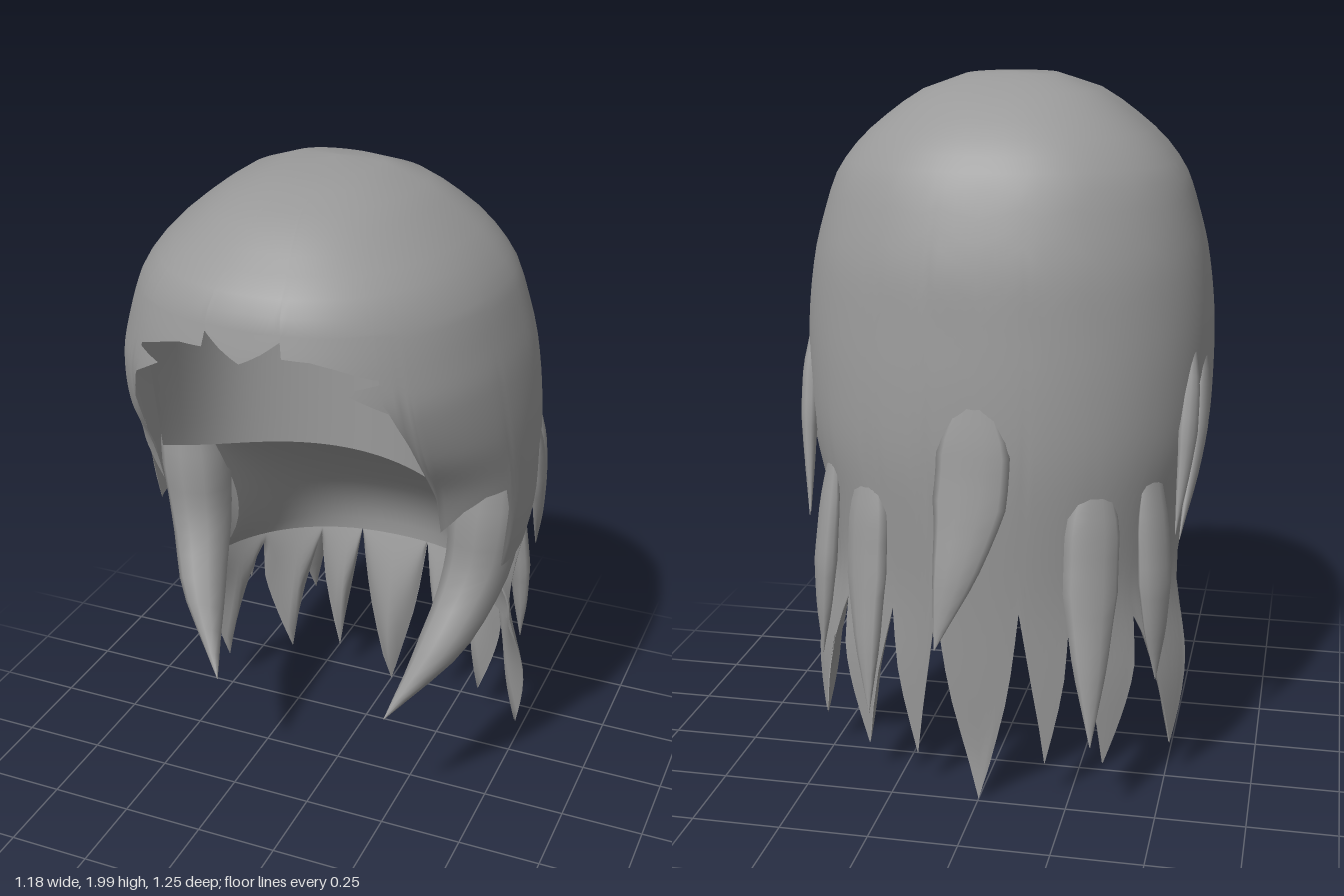
import * as THREE from 'three';

const hair = new THREE.MeshStandardMaterial({ color: 0x999999, side: THREE.DoubleSide });
hair.name = 'hair grey';

// Surface through a grid of points; columns run to the right, rows run down
function grid(cols, rows, point, closed = false) {
  const pos = [], idx = [];
  for (let i = 0; i < cols; i++) for (let j = 0; j < rows; j++) pos.push(...point(i, j));
  for (let i = 0; i < (closed ? cols : cols - 1); i++) {
    for (let j = 0; j < rows - 1; j++) {
      const a = i * rows + j, c = ((i + 1) % cols) * rows + j;
      idx.push(a, a + 1, c, a + 1, c + 1, c);
    }
  }
  const g = new THREE.BufferGeometry();
  g.setAttribute('position', new THREE.Float32BufferAttribute(pos, 3));
  g.setIndex(idx);
  g.computeVertexNormals();
  return g;
}

// Head outline by height: y, half width, reach to the front, reach to the back
const LEVELS = [
  [2.0, 0.002, 0.002, 0.002], [1.993, 0.13, 0.18, 0.08], [1.95, 0.25, 0.37, 0.2],
  [1.84, 0.4, 0.53, 0.345], [1.78, 0.455, 0.595, 0.39], [1.72, 0.495, 0.615, 0.425],
  [1.6, 0.535, 0.64, 0.465], [1.5, 0.56, 0.64, 0.49], [1.35, 0.58, 0.57, 0.505],
  [1.2, 0.585, 0.44, 0.52], [1.0, 0.575, 0.37, 0.53], [0.8, 0.535, 0.36, 0.52],
  [0.6, 0.52, 0.36, 0.505], [0.35, 0.585, 0.36, 0.49], [0.1, 0.59, 0.36, 0.475], [0, 0.57, 0.36, 0.49],
];
function slope(k, c) {
  const a = LEVELS[Math.max(k - 1, 0)], b = LEVELS[Math.min(k + 1, LEVELS.length - 1)];
  return (b[c] - a[c]) / (b[0] - a[0]);
}
function level(y, c) {
  let k = 0;
  while (k < LEVELS.length - 2 && y < LEVELS[k + 1][0]) k++;
  const p = LEVELS[k], q = LEVELS[k + 1], h = q[0] - p[0], t = (y - p[0]) / h;
  if (k < 2) return p[c] + (q[c] - p[c]) * t;
  const t2 = t * t, t3 = t2 * t;
  return (2 * t3 - 3 * t2 + 1) * p[c] + (t3 - 2 * t2 + t) * h * slope(k, c)
    + (3 * t2 - 2 * t3) * q[c] + (t3 - t2) * h * slope(k + 1, c);
}
const soft = (v) => Math.sign(v) * Math.abs(v) ** 0.909;
function onHead(deg, y, scale = 1) {
  const a = THREE.MathUtils.degToRad(deg), c = Math.cos(a);
  return [scale * level(y, 1) * soft(Math.sin(a)), y, scale * level(y, c > 0 ? 2 : 3) * soft(c)];
}

// Lower hair line: degrees from the front, height
const HEM = [
  [0, 1.64], [5, 1.67], [10, 1.705], [10.4, 1.665], [18, 1.66], [24, 1.645], [36, 1.607], [36.4, 1.545],
  [38, 1.51], [41, 1.42], [43, 1.28], [44, 1.2], [44.5, 1.08], [53, 1.14], [62, 1.172], [72, 1.17],
  [74, 1.1], [76, 0.9], [96, 0.9], [100, 0.72], [106, 0.5], [113, 0.32], [121, 0.12], [126, 0.3],
  [129, 0.48], [131, 0.54], [135, 0.4], [147, 0.11], [151, 0.35], [154, 0.56], [158, 0.38],
  [164, 0.12], [167, 0.35], [169, 0.58], [174, 0.3], [180, 0.01],
];
// Hem from the front to the back on one side, finely divided
function halfHem() {
  const half = [];
  HEM.slice(0, -1).forEach(([a, y], k) => {
    const [b, z] = HEM[k + 1], n = Math.ceil((b - a) / 2);
    for (let i = 0; i < n; i++) half.push([a + (b - a) * i / n, y + (z - y) * i / n]);
  });
  return [...half, HEM[HEM.length - 1]];
}

// Crown, fringe and back hair in one skin
function shellGeometry() {
  const half = halfHem();
  const cols = [...half.slice(1, -1).reverse().map(([a, y]) => [-a, y]), ...half];
  const top = [2, 1.993, 1.975, 1.95, 1.915, 1.88, 1.84, 1.8, 1.76, 1.72];
  const rows = 34;
  return grid(cols.length, rows, (i, j) => {
    const [deg, end] = cols[i];
    const y = j < top.length ? top[j] : 1.72 + (end - 1.72) * (j - top.length + 1) / (rows - top.length);
    return onHead(deg, y);
  }, true);
}

// Inner side of the pointed strands around the back
function strandLiningGeometry() {
  const back = halfHem().filter(([a]) => a >= 105);
  const cols = [...back, ...back.slice(0, -1).reverse().map(([a, y]) => [360 - a, y])];
  return grid(cols.length, 11, (i, j) => {
    const [deg, end] = cols[i], t = j / 10, length = Math.max(0.58 - end, 0);
    return onHead(deg, end + length * (1 - t), 0.995 - 0.16 * length * Math.sin(Math.PI * t));
  });
}

// Small tuft pointing in over the brow
function tuftGeometry(m) {
  return grid(7, 3, (i, j) => {
    const t = i / 6, upper = 1.585 + 0.015 * t, lower = 1.583 - 0.065 * t;
    return onHead(m * (26 + 12 * t), upper + (lower - upper) * j / 2);
  });
}

// Hollow behind the face
function wallGeometry() {
  return grid(33, 9, (i, j) => {
    const s = i / 16 - 1, v = j / 8, edge = s ** 8;
    return [s * (0.4 + 0.03 * v), 1.74 - 0.1 * edge - (0.635 - 0.17 * edge) * v,
      -0.05 + 0.2 * s * s + edge * (0.25 - 0.13 * v)];
  });
}

// Inside of the hair below the hollow, running out into the back strands
function liningGeometry() {
  return grid(33, 13, (i, j) => {
    const s = i / 16 - 1, v = j / 12, a = s * Math.PI / 2, y = 1.105 - 0.525 * v;
    const [x, , z] = onHead(180 - 76 * s, y, 0.985);
    const inX = 0.36 * soft(Math.sin(a)), inZ = 0.08 - 0.13 * soft(Math.cos(a));
    return [inX + (x - inX) * v ** 4, y, inZ + (z - inZ) * Math.sin(v * Math.PI / 2)];
  });
}

// Tapered strand: path, half widths and half depths along it, direction it faces
function lockGeometry(path, wide, deep, deg) {
  const curve = new THREE.CatmullRomCurve3(path.map((p) => new THREE.Vector3(...p)));
  const a = THREE.MathUtils.degToRad(deg);
  const n = new THREE.Vector3(Math.sin(a), 0, Math.cos(a));
  const along = (list, t) => {
    const f = t * (list.length - 1), k = Math.min(Math.floor(f), list.length - 2);
    return list[k] + (list[k + 1] - list[k]) * (f - k);
  };
  const rows = 15, sides = 10;
  return grid(sides, rows, (i, j) => {
    const t = j / (rows - 1), r = i / sides * Math.PI * 2;
    const side = curve.getTangent(t).cross(n).normalize();
    return curve.getPoint(t)
      .addScaledVector(side, Math.cos(r) * along(wide, t))
      .addScaledVector(n, Math.sin(r) * along(deep, t)).toArray();
  }, true);
}

export function createModel() {
  const group = new THREE.Group();
  group.name = 'hair';
  const add = (name, geometry) => {
    const mesh = new THREE.Mesh(geometry, hair);
    mesh.name = name;
    group.add(mesh);
  };
  add('hairShell', shellGeometry());
  add('strandLining', strandLiningGeometry());
  add('innerWall', wallGeometry());
  add('innerLining', liningGeometry());

  // Paired strands
  for (const [side, m] of [['left', 1], ['right', -1]]) {
    const pair = (name, path, wide, deep, deg) =>
      add(side + name, lockGeometry(path.map(([x, y, z]) => [x * m, y, z]), wide, deep, deg * m));
    add(side + 'BrowTuft', tuftGeometry(m));
    pair('FrontLock',
      [[0.48, 1.3, 0.02], [0.465, 1.02, 0.01], [0.445, 0.82, 0.03], [0.385, 0.62, 0.15], [0.27, 0.43, 0.3]],
      [0.06, 0.1, 0.09, 0.065, 0.001], [0.08, 0.11, 0.095, 0.07, 0.001], 90);
    pair('SideLock', [[0.56, 1.31, -0.09], [0.565, 1.05, -0.17], [0.53, 0.76, -0.31]],
      [0.01, 0.04, 0.04, 0.025, 0.001], [0.005, 0.02, 0.022, 0.015, 0.001], 102);
    pair('RearSideLock', [[0.54, 1.31, -0.18], [0.54, 1.05, -0.25], [0.52, 0.78, -0.33]],
      [0.01, 0.03, 0.035, 0.02, 0.001], [0.005, 0.025, 0.025, 0.015, 0.001], 115);
    pair('LowerLock', [[0.45, 0.98, -0.31], [0.47, 0.65, -0.36], [0.48, 0.37, -0.38]],
      [0.03, 0.06, 0.06, 0.04, 0.001], [0.005, 0.025, 0.03, 0.02, 0.001], 125);
  }

  // Loose strands at the back
  add('backRightLock', lockGeometry([[-0.31, 1.0, -0.42], [-0.31, 0.65, -0.48], [-0.33, 0.25, -0.59]],
    [0.03, 0.08, 0.08, 0.05, 0.001], [0.005, 0.03, 0.035, 0.03, 0.001], 210));
  add('backLeftLock', lockGeometry([[0.31, 1.0, -0.42], [0.32, 0.65, -0.46], [0.3, 0.27, -0.54]],
    [0.03, 0.075, 0.075, 0.045, 0.001], [0.005, 0.03, 0.03, 0.025, 0.001], 148));
  add('backMiddleLock', lockGeometry([[0, 1.2, -0.51], [0.01, 0.9, -0.54], [0.09, 0.51, -0.62]],
    [0.04, 0.1, 0.1, 0.06, 0.001], [0.005, 0.02, 0.025, 0.025, 0.001], 180));
  return group;
}
